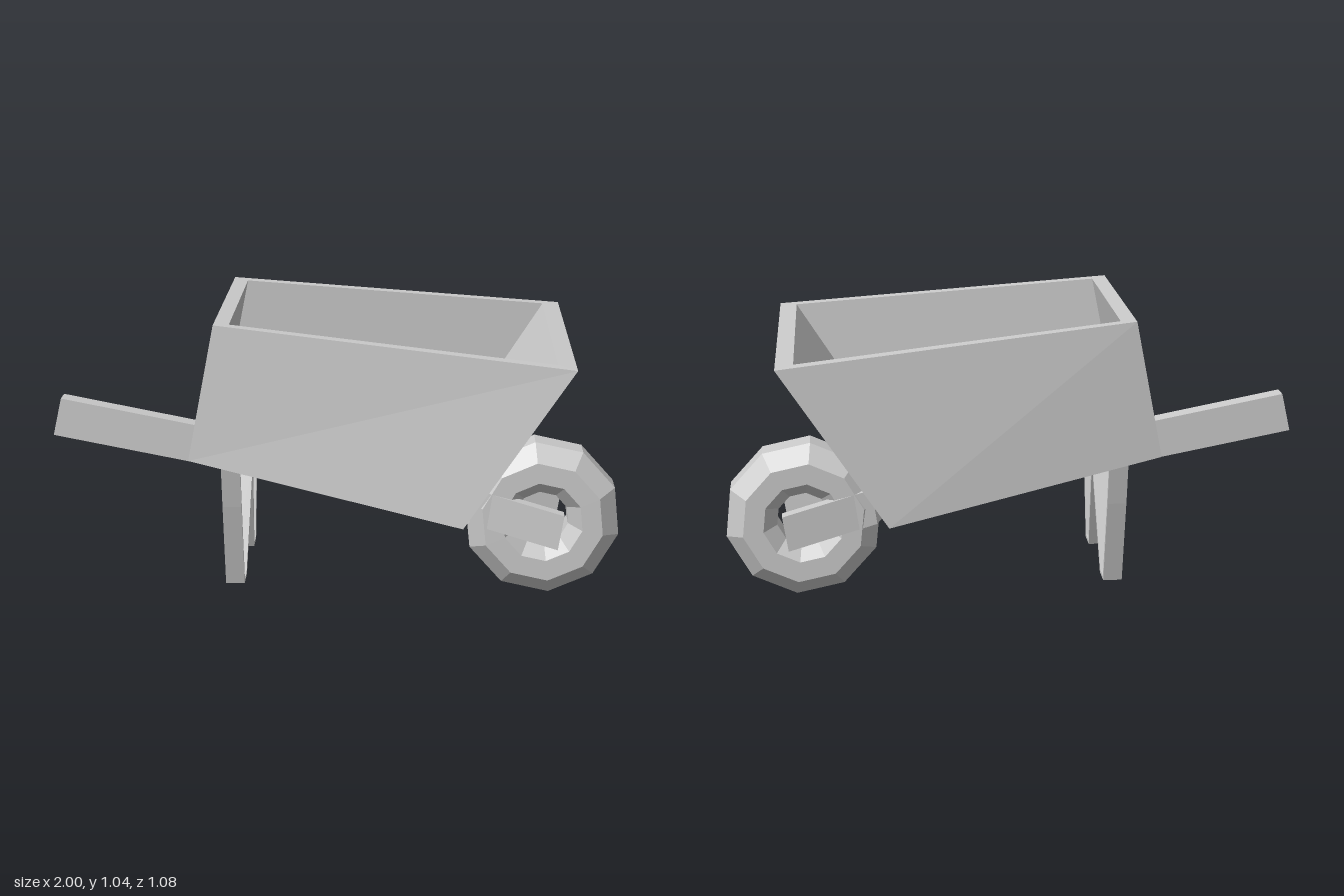
import * as THREE from 'three';

const material = new THREE.MeshStandardMaterial({ color: 0xcccccc, flatShading: true });

// Joins four-cornered cross-sections (counterclockwise seen from the far end) and caps both ends
function loft(name, rings) {
  const points = rings.flat();
  const index = [];
  const quad = (a, b, c, d) => index.push(a, b, c, a, c, d);
  quad(3, 2, 1, 0);
  for (let r = 0; r < rings.length - 1; r++) {
    for (let i = 0; i < 4; i++) {
      const a = r * 4 + i, b = r * 4 + (i + 1) % 4;
      quad(a, b, b + 4, a + 4);
    }
  }
  const e = (rings.length - 1) * 4;
  quad(e, e + 1, e + 2, e + 3);
  const indexed = new THREE.BufferGeometry();
  indexed.setAttribute('position', new THREE.Float32BufferAttribute(points.flat(), 3));
  indexed.setIndex(index);
  const geometry = indexed.toNonIndexed();
  geometry.computeVertexNormals();
  const mesh = new THREE.Mesh(geometry, material);
  mesh.name = name;
  return mesh;
}

// Mirrors cross-sections to the -z side and keeps their faces outward
const mirrorZ = (rings) => rings.map((ring) => ring.map(([x, y, z]) => [x, y, -z]).reverse());

// Horizontal tray outline from its front and back edges: [x, y, half width]
const outline = ([fx, fy, fz], [bx, by, bz]) =>
  [[fx, fy, fz], [fx, fy, -fz], [bx, by, -bz], [bx, by, bz]];

// Upright beam section from its bottom and top points, between z0 and z1
const section = ([bx, by], [tx, ty], z0, z1) =>
  [[bx, by, z0], [tx, ty, z0], [tx, ty, z1], [bx, by, z1]];

// Strip section of a leg: outer and inner [z, y], shifted along x
const strip = ([zo, yo], [zi, yi], shift = 0) => {
  const x0 = -0.375 + shift, x1 = -0.31 + shift;
  return [[x0, yo, zo], [x0, yi, zi], [x1, yi, zi], [x1, yo, zo]];
};

export function createModel() {
  const model = new THREE.Group();
  model.name = 'wheelbarrow';

  // Hollow tray: outside wall, rim, inside wall, floor
  model.add(loft('tray', [
    outline([0.44, 0.39, 0.54], [-0.48, 0.575, 0.41]),
    outline([0.80, 0.93, 0.54], [-0.39, 1.04, 0.41]),
    outline([0.74, 0.936, 0.485], [-0.34, 1.035, 0.373]),
    outline([0.47, 0.52, 0.457], [-0.41, 0.68, 0.366]),
  ]));

  // Central beam and handle, flaring into the fork
  model.add(loft('beam', [
    section([-1, 0.555], [-0.97, 0.688], -0.034, 0.034),
    section([0.44, 0.28], [0.458, 0.412], -0.034, 0.034),
    section([0.47, 0.267], [0.488, 0.392], -0.1, 0.1),
  ]));

  // Fork arms and legs on both sides
  const arm = [
    section([0.47, 0.267], [0.488, 0.392], 0.05, 0.1),
    section([0.78, 0.19], [0.80, 0.315], 0.1, 0.15),
  ];
  const leg = [
    strip([0.37, 0.56], [0.357, 0.56]),
    strip([0.33, 0.39], [0.317, 0.39]),
    strip([0.247, 0.086], [0.235, 0.097]),
    strip([0.157, 0.086], [0.168, 0.097]),
    strip([0.0, 0.44], [0.014, 0.44], 0.012),
  ];
  model.add(loft('leftForkArm', mirrorZ(mirrorZ(arm))), loft('rightForkArm', mirrorZ(arm)));
  model.add(loft('leftLeg', mirrorZ(mirrorZ(leg))), loft('rightLeg', mirrorZ(leg)));

  // Ten-sided tyre with an eight-sided section
  const profile = [
    [0.277, -0.05], [0.277, 0.05], [0.216, 0.11], [0.143, 0.11],
    [0.095, 0.05], [0.095, -0.05], [0.143, -0.11], [0.216, -0.11], [0.277, -0.05],
  ].map(([r, y]) => new THREE.Vector2(r, y));
  const tyre = new THREE.LatheGeometry(profile, 10, THREE.MathUtils.degToRad(6));
  tyre.rotateX(Math.PI / 2);
  const wheel = new THREE.Mesh(tyre, material);
  wheel.name = 'wheel';
  wheel.position.set(0.727, 0.278, 0);
  model.add(wheel);

  return model;
}
